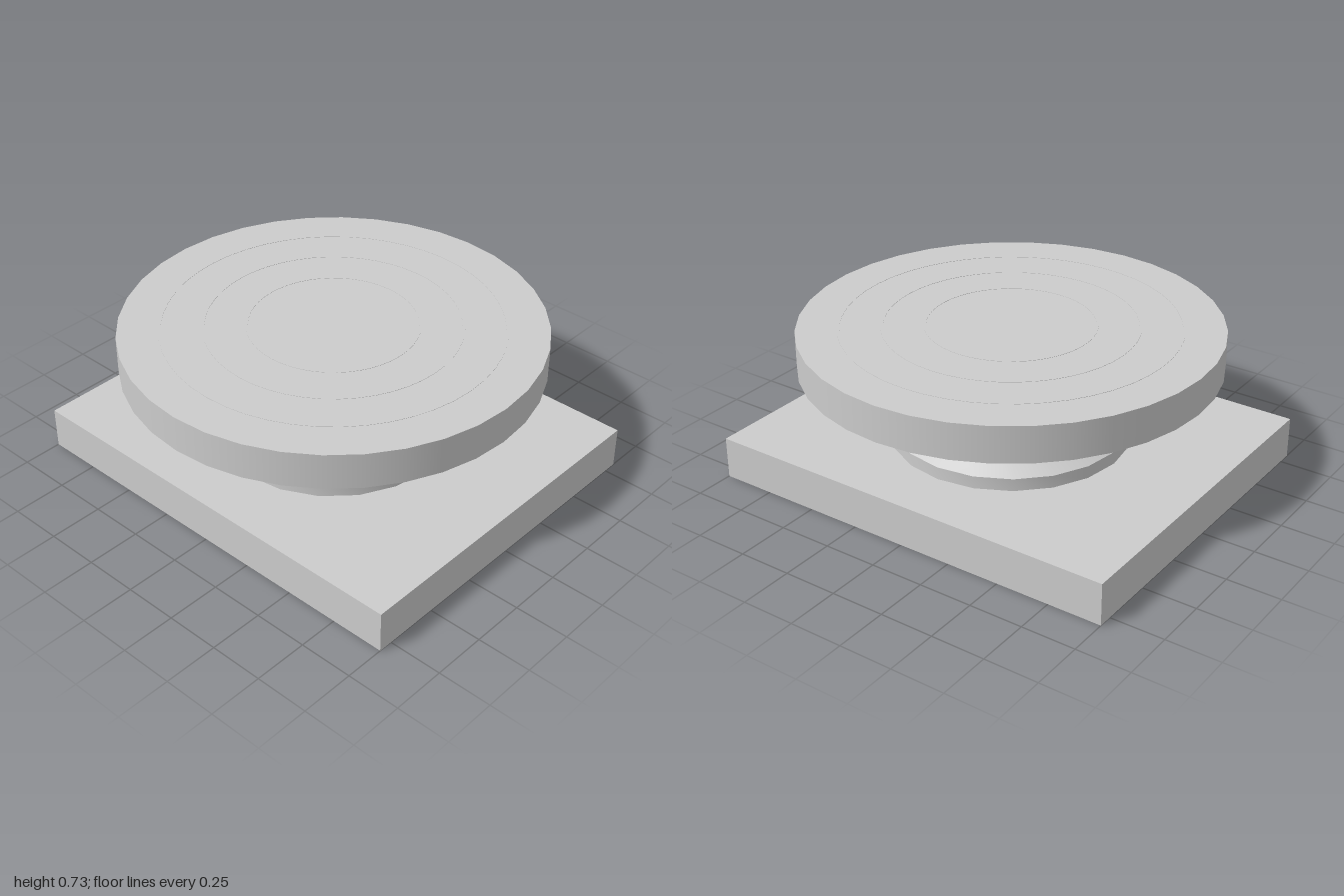
import * as THREE from 'three';
import { toCreasedNormals } from 'three/addons/utils/BufferGeometryUtils.js';

const material = new THREE.MeshStandardMaterial({ color: 0xcccccc });

export function createModel() {
  const model = new THREE.Group();
  const add = (name, geometry, y = 0) => {
    const mesh = new THREE.Mesh(geometry, material);
    mesh.name = name;
    mesh.position.y = y;
    model.add(mesh);
  };
  // Turned part from [radius, height] pairs, bottom to top
  const turned = (profile, sides) => toCreasedNormals(
    new THREE.LatheGeometry(profile.map(([r, y]) => new THREE.Vector2(r, y)), sides), 0.5);

  // Rectangular slab
  add('base', new THREE.BoxGeometry(2, 0.195, 1.63), 0.0975);

  // Waisted pedestal: low foot, sloping shoulder, narrow neck, flared collar
  add('pedestal', turned([
    [0, 0.19], [0.55, 0.19], [0.55, 0.253], [0.39, 0.342], [0.367, 0.383],
    [0.44, 0.53], [0.437, 0.549], [0.42, 0.56], [0, 0.56],
  ], 20));

  // Round turntable plate
  add('plate', new THREE.CylinderGeometry(0.948, 0.948, 0.167, 36), 0.6425);

  // Fine concentric rings lying almost flush in the plate top
  [0.38, 0.57, 0.76].forEach((radius, i) => {
    const r0 = radius - 0.005, r1 = radius + 0.005;
    add(`ring${i + 1}`, turned([[r1, 0], [r1, 0.002], [r0, 0.002], [r0, 0]], 48), 0.7255);
  });

  return model;
}
